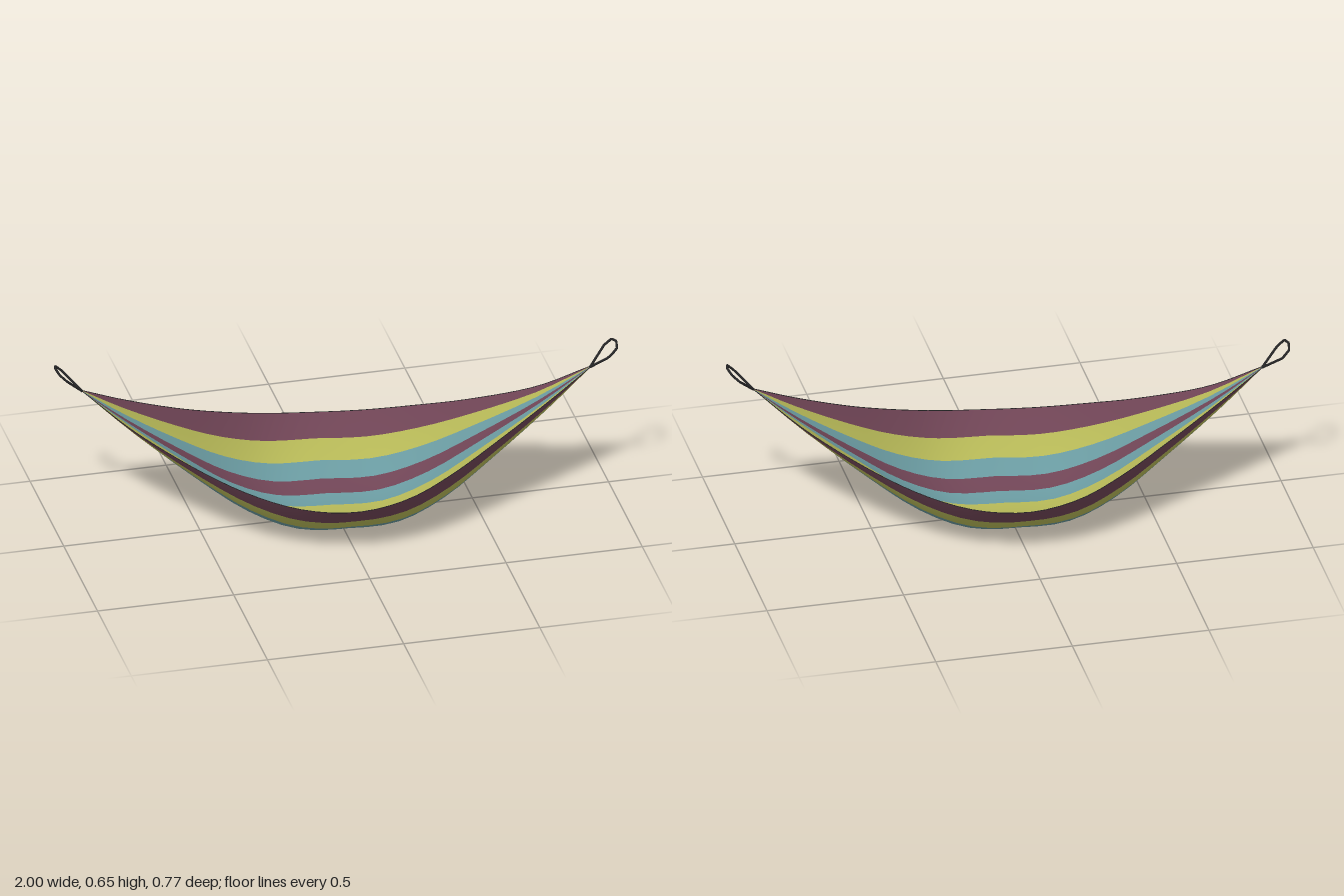
import * as THREE from 'three';

const ROWS = 30; // steps along the length
const COLS = 12; // strips across the cloth

const curve = (pts) => new THREE.CatmullRomCurve3(pts.map((p) => new THREE.Vector3(...p)), false, 'catmullrom', 0.5);

// Front hem of the cloth; the back hem is the same line turned half way round
const hemPoints = [
  [-0.9, 0.547, -0.126], [-0.73, 0.42, 0], [-0.525, 0.315, 0.155], [-0.35, 0.252, 0.27],
  [-0.18, 0.216, 0.345], [0, 0.21, 0.383], [0.18, 0.235, 0.372], [0.35, 0.288, 0.324],
  [0.525, 0.36, 0.26], [0.73, 0.457, 0.19], [0.9, 0.547, 0.134],
];
const frontHem = curve(hemPoints);
const backHem = curve(hemPoints.map(([x, y, z]) => [-x, y, -z]).reverse());

// Lowest line of the cloth, from end to end
const keelHalf = [[0.18, 0.01, 0.026], [0.35, 0.087, 0.051], [0.525, 0.22, 0.076], [0.73, 0.39, 0.106], [0.9, 0.545, 0.13]];
const keel = curve([
  ...keelHalf.map(([x, y, z]) => [-x, y, -z]).reverse(), [0, 0, 0], ...keelHalf,
]);

// Sagging sheet: each cross-section rises from the keel to both hems
function clothGeometry(stripes) {
  const pos = [], index = [];
  for (let j = 0; j <= COLS; j++) {
    const t = (j / COLS) * 2 - 1, a = Math.abs(t);
    for (let i = 0; i <= ROWS; i++) {
      const u = i / ROWS;
      const k = keel.getPoint(u);
      const e = (t < 0 ? backHem : frontHem).getPoint(u);
      const rise = Math.pow(a, 2.3 + Math.abs(k.x)); // rounder towards the ends
      pos.push(k.x, k.y + (e.y - k.y) * rise, k.z + (e.z - k.z) * a);
    }
  }
  const geo = new THREE.BufferGeometry();
  for (let j = 0; j < COLS; j++) {
    geo.addGroup(index.length, ROWS * 6, stripes[j]);
    for (let i = 0; i < ROWS; i++) {
      const p = j * (ROWS + 1) + i, q = p + ROWS + 1;
      index.push(p, q, p + 1, q, q + 1, p + 1);
    }
  }
  geo.setAttribute('position', new THREE.Float32BufferAttribute(pos, 3));
  geo.setIndex(index);
  geo.computeVertexNormals();
  return geo;
}

// Angular hanging loop made of straight rope lengths, tied at one end of the cloth
function loopGeometry(side) {
  const shift = side > 0 ? 0 : -0.278;
  const knot = [0.13 * side, 0.546];
  const bend = [[0.174, 0.598], [0.179, 0.612], [0.173, 0.634], [0.135, 0.641], [0.098, 0.633], [0.091, 0.607]];
  const outline = [knot, ...bend.map(([z, y]) => [z + shift, y]), knot];
  const pts = outline.map(([z, y]) => new THREE.Vector3(side * (0.9 + y - 0.546), y, z));
  const path = new THREE.CurvePath();
  for (let i = 1; i < pts.length; i++) path.add(new THREE.LineCurve3(pts[i - 1], pts[i]));
  return new THREE.TubeGeometry(path, 48, 0.0045, 6, false);
}

export function createModel() {
  const group = new THREE.Group();
  group.name = 'hammock';

  const colour = (name, hex) => {
    const m = new THREE.MeshStandardMaterial({ color: hex });
    m.name = name;
    return m;
  };
  const maroon = colour('maroon', 0x6f4455);
  const yellow = colour('yellow', 0xb4b656);
  const teal = colour('teal', 0x69999f);
  const black = colour('black', 0x262627);
  [maroon, yellow, teal].forEach((m) => { m.side = THREE.DoubleSide; });

  const add = (name, geo, mat) => {
    const mesh = new THREE.Mesh(geo, mat);
    mesh.name = name;
    group.add(mesh);
  };

  // Striped cloth, symmetrical about a double-width middle stripe
  const half = [0, 1, 2, 0, 2, 1];
  add('stripedCloth', clothGeometry([...half, ...[...half].reverse()]), [maroon, yellow, teal]);

  // Thin cords along both hems
  add('frontHemCord', new THREE.TubeGeometry(frontHem, 40, 0.0014, 5, false), black);
  add('backHemCord', new THREE.TubeGeometry(backHem, 40, 0.0014, 5, false), black);

  // Hanging loops at both ends
  add('leftLoop', loopGeometry(1), black);
  add('rightLoop', loopGeometry(-1), black);

  return group;
}
